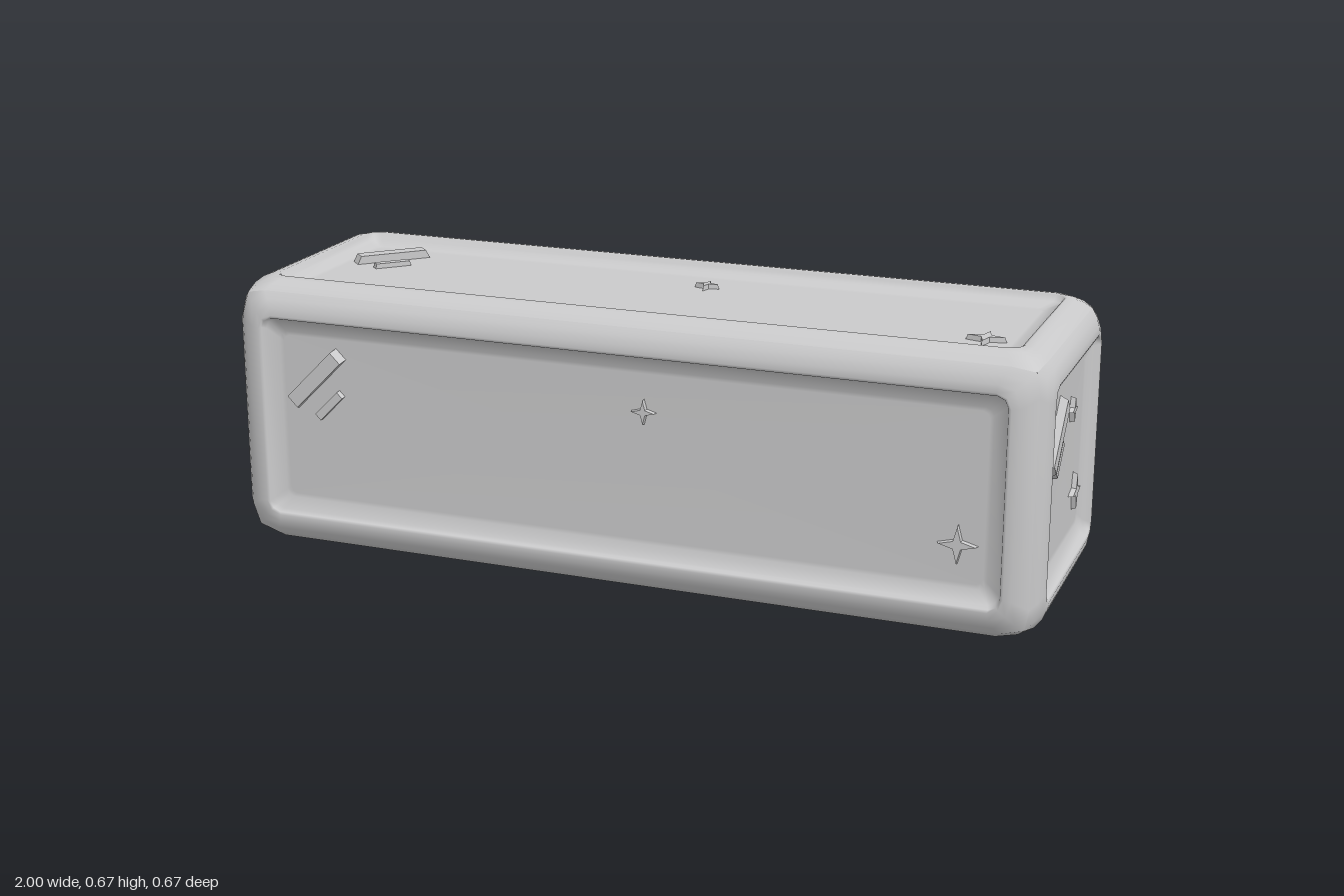
import * as THREE from 'three';

const H = 0.333;      // half height and half depth
const PANEL = -0.03;  // level of the recessed panel

const metal = new THREE.MeshStandardMaterial({ color: 0xcacacb });
metal.name = 'pale grey';

// Frame and recessed panel of one side: rings of [inset, level, corner cut, corner pull, corner level]
const RINGS = [
  [0.025, -0.025, 0.065, 0.011, -0.036],
  [0.042, -0.011, 0.06, 0.012, -0.018],
  [0.062, -0.003, 0.05, 0.012, -0.006],
  [0.08, 0, 0.035, 0.01, 0],
  [0.087, -0.003, 0.025, 0.008, -0.003],
  [0.092, -0.018, 0.025, 0.008, -0.018],
  [0.122, -0.028, 0.018, 0.006, -0.028],
  [0.132, PANEL, 0.016, 0.005, PANEL],
];

function frameGeometry(hu, hv) {
  const pos = [], index = [], n = 12;
  for (const [inset, level, cut, pull, cornerLevel] of RINGS) {
    const a = hu - inset, b = hv - inset;
    for (const [sx, sy] of [[1, 1], [-1, 1], [-1, -1], [1, -1]]) {
      const pts = [
        [a, b - cut, level],
        [a - pull, b - pull, cornerLevel],
        [a - cut, b, level],
      ];
      if (sx * sy < 0) pts.reverse();
      for (const [x, y, z] of pts) pos.push(sx * x, sy * y, z);
    }
  }
  for (let r = 0; r < RINGS.length - 1; r++) {
    for (let i = 0; i < n; i++) {
      const j = (i + 1) % n, p = r * n, q = p + n;
      index.push(p + i, p + j, q + j, p + i, q + j, q + i);
    }
  }
  // flat panel floor
  const last = (RINGS.length - 1) * n, centre = pos.length / 3;
  pos.push(0, 0, PANEL);
  for (let i = 0; i < n; i++) index.push(last + i, last + ((i + 1) % n), centre);
  const g = new THREE.BufferGeometry();
  g.setAttribute('position', new THREE.Float32BufferAttribute(pos, 3));
  g.setIndex(index);
  g.computeVertexNormals();
  return g;
}

// Raised diagonal bar with sloping ends
function barGeometry(length, width, height, slope) {
  const s = new THREE.Shape([
    new THREE.Vector2(-length / 2, 0), new THREE.Vector2(length / 2, 0),
    new THREE.Vector2(length / 2 - slope, height), new THREE.Vector2(-length / 2 + slope, height),
  ]);
  const g = new THREE.ExtrudeGeometry(s, { depth: width, bevelEnabled: false });
  return g.translate(0, 0, -width / 2).rotateX(Math.PI / 2).rotateZ(Math.PI / 4);
}

// Raised four-pointed sparkle, narrowing slightly to its top
function sparkleGeometry(radius) {
  const pts = [];
  for (let i = 0; i < 8; i++) {
    const r = i % 2 ? radius * 0.3 : radius, t = i * Math.PI / 4;
    pts.push(new THREE.Vector2(r * Math.cos(t), r * Math.sin(t)));
  }
  const g = new THREE.ExtrudeGeometry(new THREE.Shape(pts), { depth: 0.012, bevelEnabled: false });
  const p = g.attributes.position;
  for (let i = 0; i < p.count; i++) {
    if (p.getZ(i) > 0.001) p.setXY(i, p.getX(i) * 0.9, p.getY(i) * 0.9);
  }
  g.computeVertexNormals();
  return g;
}

function addMesh(parent, name, geometry, x = 0, y = 0, z = 0) {
  const m = new THREE.Mesh(geometry, metal);
  m.name = name;
  m.position.set(x, y, z);
  parent.add(m);
}

function makeSide(name, hu, marked) {
  const side = new THREE.Group();
  side.name = name;
  addMesh(side, 'framedPanel', frameGeometry(hu, H));
  if (marked) {
    const shift = hu - H; // marks keep their distance from the panel ends
    addMesh(side, 'longGlint', barGeometry(0.19, 0.036, 0.02, 0.01), -0.114 - shift, 0.1, PANEL);
    addMesh(side, 'shortGlint', barGeometry(0.092, 0.02, 0.012, 0.003), -0.08 - shift, 0.036, PANEL);
    addMesh(side, 'smallSparkle', sparkleGeometry(0.031), 0.066, 0.111, PANEL);
    addMesh(side, 'largeSparkle', sparkleGeometry(0.047), 0.141 + shift, -0.111, PANEL);
  }
  return side;
}

export function createModel() {
  const model = new THREE.Group();
  model.name = 'block';
  const q = Math.PI / 2;
  // name, half width, outward position, rotation about x and y, glint marks
  const sides = [
    ['frontSide', 1, [0, 0, H], 0, 0, true],
    ['backSide', 1, [0, 0, -H], 0, 2 * q, true],
    ['leftEnd', H, [1, 0, 0], 0, q, true],
    ['rightEnd', H, [-1, 0, 0], 0, -q, true],
    ['topSide', 1, [0, H, 0], -q, 0, true],
    ['bottomSide', 1, [0, -H, 0], q, 0, false],
  ];
  for (const [name, hu, [x, y, z], rx, ry, marked] of sides) {
    const side = makeSide(name, hu, marked);
    side.position.set(x, y + H, z);
    side.rotation.set(rx, ry, 0);
    model.add(side);
  }
  return model;
}
